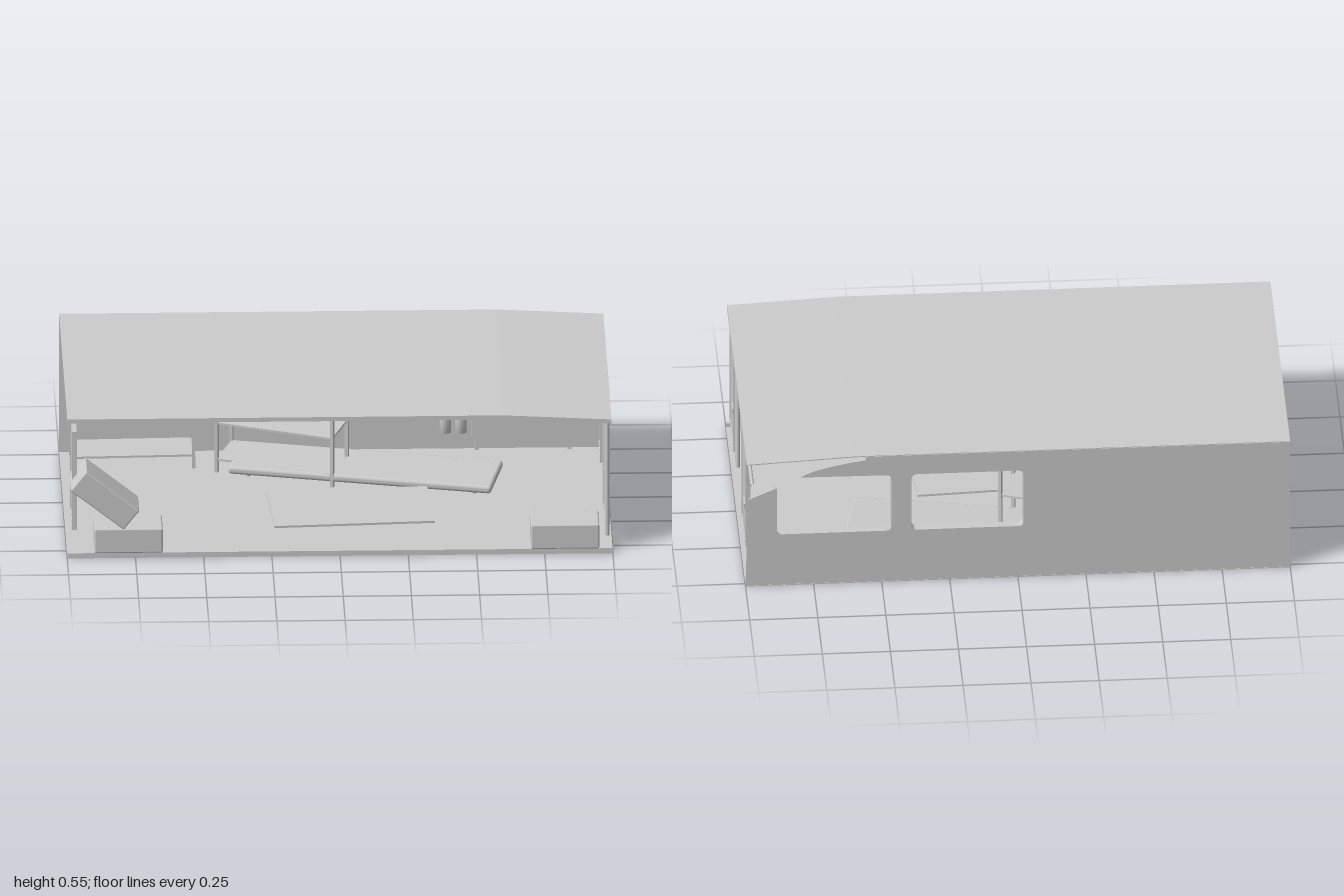
import * as THREE from 'three';
import { RoundedBoxGeometry } from 'three/addons/geometries/RoundedBoxGeometry.js';

const grey = new THREE.MeshStandardMaterial({ color: 0xcccccc, side: THREE.DoubleSide });

function add(parent, name, geometry, x = 0, y = 0, z = 0) {
  const mesh = new THREE.Mesh(geometry, grey);
  mesh.name = name;
  mesh.position.set(x, y, z);
  parent.add(mesh);
  return mesh;
}
const box = (w, h, d) => new THREE.BoxGeometry(w, h, d);

function extrude(shape, depth) {
  return new THREE.ExtrudeGeometry(shape, { depth, bevelEnabled: false, curveSegments: 6 });
}

// Rounded rectangle, as a Shape or as a Path for holes
function roundRect(Type, x0, y0, x1, y1, r) {
  const p = new Type();
  p.moveTo(x0 + r, y0);
  p.lineTo(x1 - r, y0).quadraticCurveTo(x1, y0, x1, y0 + r);
  p.lineTo(x1, y1 - r).quadraticCurveTo(x1, y1, x1 - r, y1);
  p.lineTo(x0 + r, y1).quadraticCurveTo(x0, y1, x0, y1 - r);
  p.lineTo(x0, y0 + r).quadraticCurveTo(x0, y0, x0 + r, y0);
  return p;
}

// Strip that follows a line in x/y, with a downward thickness, extruded along z
function strip(points, thickness, depth) {
  const lower = points.map(([x, y]) => [x, y - thickness]).reverse();
  return extrude(new THREE.Shape([...points, ...lower].map(p => new THREE.Vector2(...p))), depth);
}

function buildShell(g) {
  // Thin floor with a raised front sill
  add(g, 'floor', box(2, 0.004, 1.1), 0, 0.002, 0.03);
  add(g, 'frontSill', box(2, 0.02, 0.008), 0, 0.01, 0.576);

  // Roof, bent down towards one end, with front and end lips
  const line = [[-1, 0.545], [0.6, 0.545], [0.995, 0.525]];
  add(g, 'roof', strip(line, 0.004, 1.1), 0, 0, -0.517);
  add(g, 'roofFrontLip', strip(line, 0.016, 0.008), 0, 0, 0.575);
  add(g, 'roofEndLip', box(0.01, 0.02, 1.06), 0.99, 0.515, 0.053);

  // Back wall with one full window and one broken open at the top corner
  const wall = new THREE.Shape();
  wall.moveTo(-1, 0);
  wall.lineTo(1, 0);
  wall.lineTo(0.99, 0.375);
  wall.lineTo(0.885, 0.42);
  wall.lineTo(0.885, 0.24);
  wall.quadraticCurveTo(0.885, 0.22, 0.865, 0.22);
  wall.lineTo(0.485, 0.22);
  wall.quadraticCurveTo(0.465, 0.22, 0.465, 0.24);
  wall.lineTo(0.465, 0.44);
  wall.quadraticCurveTo(0.465, 0.46, 0.485, 0.46);
  wall.lineTo(0.8, 0.463);
  wall.quadraticCurveTo(0.75, 0.5, 0.56, 0.528);
  wall.lineTo(0.56, 0.543);
  wall.lineTo(-1, 0.543);
  wall.holes.push(roundRect(THREE.Path, -0.02, 0.22, 0.39, 0.46, 0.02));
  add(g, 'backWall', extrude(wall, 0.005), 0, 0, -0.519);

  // Window reveals standing inwards from the wall
  const frame = roundRect(THREE.Shape, -0.026, 0.214, 0.396, 0.466, 0.022);
  frame.holes.push(roundRect(THREE.Path, -0.02, 0.22, 0.39, 0.46, 0.02));
  add(g, 'windowFrame', extrude(frame, 0.03), 0, 0, -0.516);
  add(g, 'brokenFrameBottom', box(0.39, 0.006, 0.03), 0.675, 0.217, -0.501);
  add(g, 'brokenFrameTop', box(0.31, 0.006, 0.03), 0.635, 0.464, -0.501);
  add(g, 'brokenFrameSide', box(0.006, 0.22, 0.03), 0.462, 0.34, -0.501);
  add(g, 'brokenFrameEnd', box(0.006, 0.18, 0.03), 0.888, 0.33, -0.501);
}

// Door panel in an end opening: panel, raised rim and handle plate
function buildDoor(g, x, z, side) {
  const door = new THREE.Group();
  door.name = 'door';
  door.position.set(x, 0.272, z);
  add(door, 'doorPanel', box(0.012, 0.385, 0.225));
  for (const s of [-1, 1]) {
    add(door, 'doorRimSide', box(0.018, 0.385, 0.008), 0, 0, s * 0.1085);
    add(door, 'doorRimEnd', box(0.018, 0.008, 0.225), 0, s * 0.1885, 0);
  }
  add(door, 'doorHandle', box(0.02, 0.02, 0.05), side * 0.002, -0.04, -0.05);
  g.add(door);
}

function buildPipes(g) {
  for (const z of [0.55, 0.525, 0.255, 0.232]) {
    add(g, 'verticalPipe', new THREE.CylinderGeometry(0.008, 0.008, 0.445, 12), 0.98, 0.283, z);
  }
  // Long pipe: rises, bends and runs out past the back wall
  const v = (y, z) => new THREE.Vector3(0.98, y, z);
  const path = new THREE.CurvePath();
  path.add(new THREE.LineCurve3(v(0.06, 0.208), v(0.455, 0.208)));
  path.add(new THREE.QuadraticBezierCurve3(v(0.455, 0.208), v(0.481, 0.208), v(0.481, 0.182)));
  path.add(new THREE.LineCurve3(v(0.481, 0.182), v(0.481, -0.588)));
  add(g, 'bentPipe', new THREE.TubeGeometry(path, 90, 0.007, 10));
}

// Open shelving: four posts carrying boards at the given heights
function buildShelves(g, name, x, z, levels) {
  const unit = new THREE.Group();
  unit.name = name;
  unit.position.set(x, 0.01, z);
  for (const sx of [-1, 1]) {
    for (const sz of [-1, 1]) {
      add(unit, 'shelfPost', box(0.012, 0.45, 0.016), sx * 0.223, 0.225, sz * 0.085);
    }
  }
  for (const y of levels) add(unit, 'shelfBoard', box(0.446, 0.008, 0.178), 0, y, 0);
  g.add(unit);
  return unit;
}

export function createModel() {
  const g = new THREE.Group();
  g.name = 'shelter';
  buildShell(g);
  buildDoor(g, 0.982, 0.392, 1);
  buildDoor(g, 0.982, -0.262, 1);
  buildDoor(g, -0.972, 0.385, -1);
  buildPipes(g);

  // One shelf unit against the wall, another knocked askew
  const straight = buildShelves(g, 'cornerShelves', -0.735, -0.4, [0.05, 0.195, 0.35]);
  straight.rotation.z = 0.012;
  const askew = buildShelves(g, 'askewShelves', -0.19, -0.285, [0.05, 0.195, 0.352]);
  askew.rotation.set(0.06, -0.35, 0);

  // Storage crates
  const crates = [
    [-0.775, 0.067, 0.507, 0], [-0.862, 0.225, 0.507, -0.67],
    [0.825, 0.067, 0.507, 0], [-0.205, 0.415, -0.29, 0],
  ];
  for (const [x, y, z, tilt] of crates) {
    add(g, 'crate', new RoundedBoxGeometry(0.25, 0.095, 0.155, 2, 0.006), x, y, z).rotation.z = tilt;
  }

  // Fallen table top with its stubby feet, and a loose board in front of it
  const table = new THREE.Group();
  table.name = 'fallenTable';
  table.position.set(0.115, 0.045, -0.22);
  table.rotation.set(0.06, -0.21, 0, 'XYZ');
  add(table, 'tableTop', new RoundedBoxGeometry(0.98, 0.03, 0.25, 2, 0.012));
  for (const sx of [-1, 1]) {
    for (const sz of [-1, 1]) {
      add(table, 'tableFoot', new THREE.CylinderGeometry(0.01, 0.01, 0.02, 10), sx * 0.42, -0.018, sz * 0.09);
    }
  }
  g.add(table);
  const board = add(g, 'looseBoard', box(0.59, 0.008, 0.325), 0.05, 0.036, 0.17);
  board.rotation.set(0.045, 0.06, 0);

  // Low cabinet on feet under the broken window
  add(g, 'cabinet', box(0.38, 0.14, 0.04), 0.7, 0.13, -0.48);
  for (const x of [0.53, 0.87]) add(g, 'cabinetFoot', box(0.015, 0.05, 0.02), x, 0.04, -0.475);

  // Pair of bottles hung on the wall
  const profile = [[0, 0.08], [0.021, 0.08], [0.021, 0.155], [0.008, 0.185], [0.008, 0.2], [0, 0.2]];
  for (const x of [0.415, 0.472]) {
    add(g, 'bottle', new THREE.LatheGeometry(profile.map(p => new THREE.Vector2(...p)), 16), x, 0, -0.485);
  }
  return g;
}
